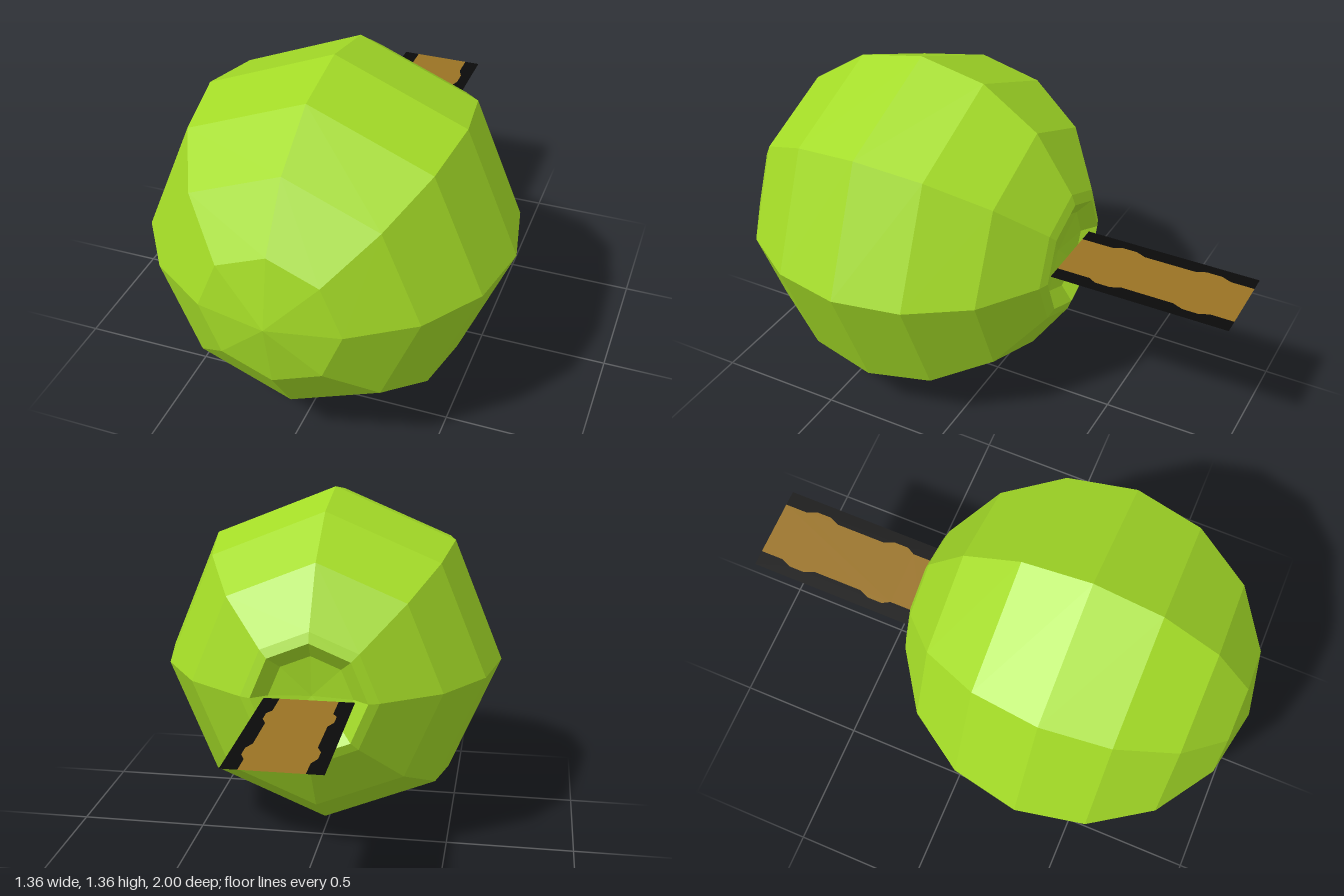
import * as THREE from 'three';

const CENTER_Y = 0.68, CENTER_Z = 0.32, RADIUS = 0.68;

export function createModel() {
  const model = new THREE.Group();
  model.name = 'fruit';
  const skin = new THREE.MeshStandardMaterial({ name: 'green skin', color: 0xa4dc27, flatShading: true });
  const bark = new THREE.MeshStandardMaterial({ name: 'brown bark', color: 0x9a7324, side: THREE.DoubleSide });
  const edge = new THREE.MeshStandardMaterial({ name: 'black edge', color: 0x0a0a0a, side: THREE.DoubleSide });

  // Body: eight-sided ball lying along z, with a shallow pit at the back
  const profile = [[0, -0.58], [0.16, -0.6], [0.22, -0.643]].map(p => new THREE.Vector2(...p));
  for (let i = 1; i <= 8; i++) {
    const a = i * Math.PI / 8;
    profile.push(new THREE.Vector2(i === 8 ? 0 : RADIUS * Math.sin(a), -RADIUS * Math.cos(a)));
  }
  const bodyGeometry = new THREE.LatheGeometry(profile, 8);
  bodyGeometry.rotateX(Math.PI / 2);
  const body = new THREE.Mesh(bodyGeometry, skin);
  body.name = 'body';
  body.position.set(0, CENTER_Y, CENTER_Z);
  model.add(body);

  // Stem: flat strip, brown in the middle with a wavy black border on each side
  const wave = [[0.11, -1], [0.11, -0.91], [0.127, -0.87], [0.127, -0.81], [0.11, -0.77],
    [0.11, -0.57], [0.127, -0.53], [0.127, -0.47], [0.11, -0.44], [0.11, -0.31]];
  const side = s => wave.map(([x, z]) => new THREE.Vector2(s * x, z));
  const stem = new THREE.Group();
  stem.name = 'stem';
  stem.position.y = CENTER_Y;
  const addStrip = (name, points, material) => {
    const geometry = new THREE.ShapeGeometry(new THREE.Shape(points));
    geometry.rotateX(Math.PI / 2);
    const mesh = new THREE.Mesh(geometry, material);
    mesh.name = name;
    stem.add(mesh);
  };
  addStrip('stemCenter', [...side(1), ...side(-1).reverse()], bark);
  for (const s of [1, -1]) {
    const outer = [new THREE.Vector2(s * 0.17, -0.31), new THREE.Vector2(s * 0.17, -1)];
    addStrip(s > 0 ? 'stemLeftEdge' : 'stemRightEdge', [...side(s), ...outer], edge);
  }
  model.add(stem);
  return model;
}
